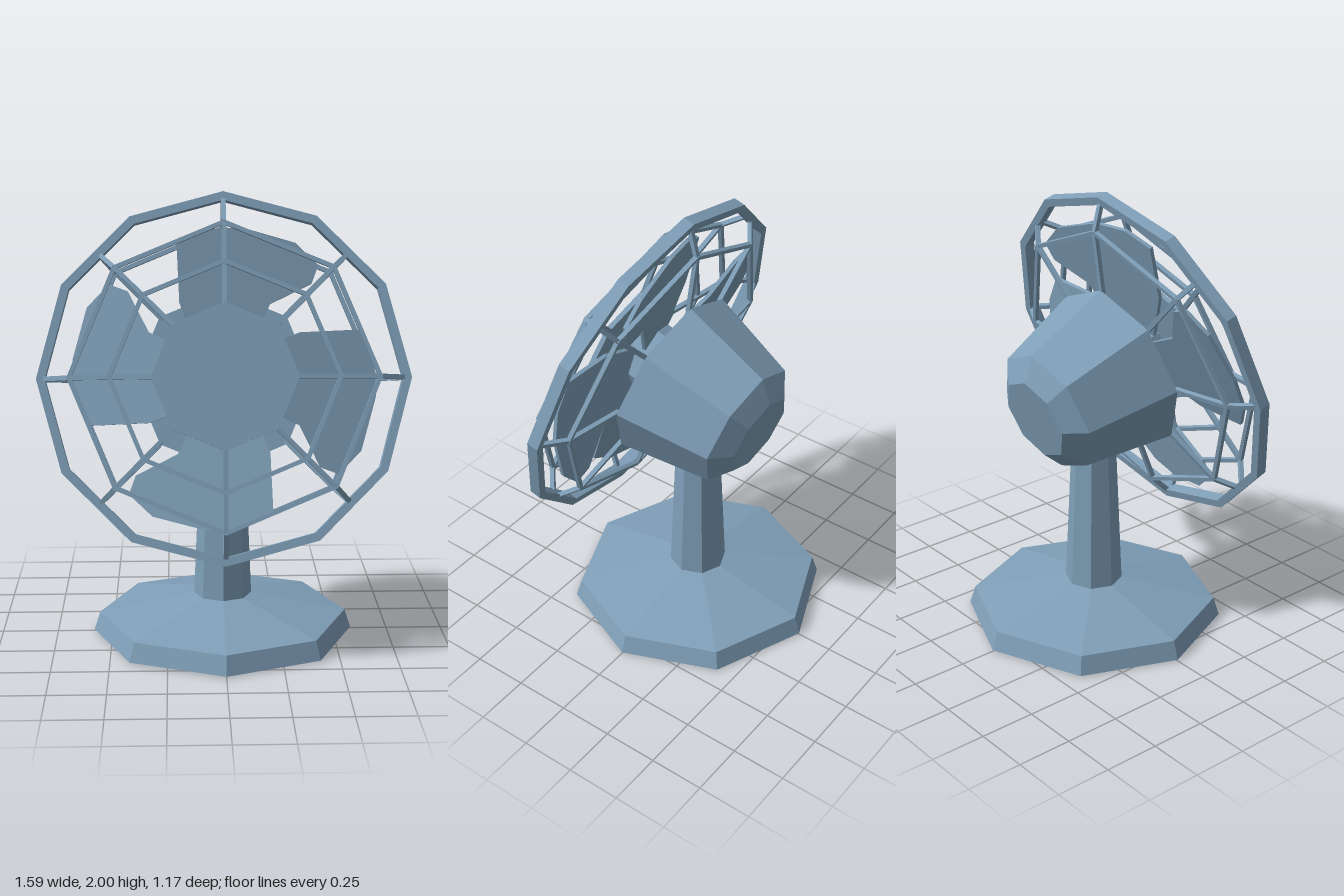
import * as THREE from 'three';

const steel = new THREE.MeshStandardMaterial({ color: 0x7f9fb8 });
steel.name = 'steelBlue';

// Faceted mesh: every face gets its own normal
function part(name, geometry, parent) {
  const g = geometry.index ? geometry.toNonIndexed() : geometry;
  g.computeVertexNormals();
  const mesh = new THREE.Mesh(g, steel);
  mesh.name = name;
  parent.add(mesh);
  return mesh;
}

// Faceted solid of revolution; profile is [radius, height] from bottom to top
function turned(profile, sides) {
  return new THREE.LatheGeometry(profile.map(([r, h]) => new THREE.Vector2(r, h)), sides);
}

// Ring with a rectangular section, facing +z at depth d
function ring(outer, width, depth, d, sides) {
  const inner = outer - width, h = depth / 2;
  return turned([[inner, d - h], [outer, d - h], [outer, d + h], [inner, d + h], [inner, d - h]], sides)
    .rotateX(Math.PI / 2);
}

// Thin square bar between two [radius, depth] points at an angle around the head axis
function bar(name, a, b, angle, parent) {
  const [p, q] = [a, b].map(([r, d]) => new THREE.Vector3(r * Math.sin(angle), r * Math.cos(angle), d));
  const dir = q.clone().sub(p);
  const mesh = part(name, new THREE.BoxGeometry(0.02, dir.length(), 0.02), parent);
  mesh.position.copy(p).add(q).multiplyScalar(0.5);
  const side = new THREE.Vector3(Math.cos(angle), -Math.sin(angle), 0);
  const up = dir.normalize();
  mesh.quaternion.setFromRotationMatrix(
    new THREE.Matrix4().makeBasis(side, up, side.clone().cross(up)));
}

export function createModel() {
  const model = new THREE.Group();
  model.name = 'deskFan';

  // Foot and column
  part('base', turned([[0, 0], [0.585, 0.005], [0.558, 0.09], [0.13, 0.18], [0, 0.18]], 8), model);
  part('post', turned([[0, 0.17], [0.13, 0.17], [0.1, 0.86], [0, 0.86]], 8), model);

  // Head, tilted back; its axis is local z
  const head = new THREE.Group();
  head.name = 'head';
  head.position.set(0, 1.225, 0.259);
  head.rotation.x = -0.272;
  model.add(head);

  part('motorHousing', turned([[0, -0.61], [0.19, -0.61], [0.29, -0.54], [0.39, -0.12], [0, -0.12]], 8)
    .rotateX(Math.PI / 2), head);
  part('bladeHub', turned([[0, -0.12], [0.16, -0.12], [0.16, 0.05], [0, 0.05]], 8)
    .rotateX(Math.PI / 2), head);

  // Guard rings and front cap
  const cage = new THREE.Group();
  cage.name = 'cage';
  head.add(cage);
  part('outerRim', ring(0.797, 0.037, 0.054, 0, 12), cage);
  part('frontRing', ring(0.665, 0.02, 0.02, 0.085, 8), cage);
  part('rearRing', ring(0.665, 0.02, 0.02, -0.08, 8), cage);
  part('frontMiddleRing', ring(0.497, 0.02, 0.02, 0.108, 8), cage);
  part('frontCap', turned([[0, 0.108], [0.312, 0.108], [0.312, 0.13], [0, 0.13]], 8)
    .rotateX(Math.PI / 2), cage);

  // Spokes on the eight corners, front and rear
  for (let i = 0; i < 8; i++) {
    const a = i * Math.PI / 4;
    const rim = i % 2 ? 0.75 : 0.775;
    bar('frontSpoke', [0.3, 0.118], [0.655, 0.085], a, cage);
    bar('frontRimSpoke', [0.655, 0.085], [rim, 0.01], a, cage);
    bar('rearSpoke', [0.37, -0.115], [0.655, -0.08], a, cage);
    bar('rearRimSpoke', [0.655, -0.08], [rim, -0.01], a, cage);
  }

  // Four swept blades, slightly pitched
  const outline = [[-0.1, 0.08], [-0.19, 0.32], [-0.2, 0.57], [-0.08, 0.635], [0.08, 0.645],
    [0.31, 0.585], [0.41, 0.49], [0.38, 0.41], [0.2, 0.32], [0.08, 0.08]];
  const shape = new THREE.Shape(outline.map(([x, y]) => new THREE.Vector2(x, y)));
  for (let i = 0; i < 4; i++) {
    const g = new THREE.ExtrudeGeometry(shape, { depth: 0.018, bevelEnabled: false });
    const p = g.attributes.position;
    for (let k = 0; k < p.count; k++) p.setZ(k, p.getZ(k) - 0.18 * p.getX(k));
    part('blade', g, head).rotation.z = i * Math.PI / 2;
  }
  return model;
}
